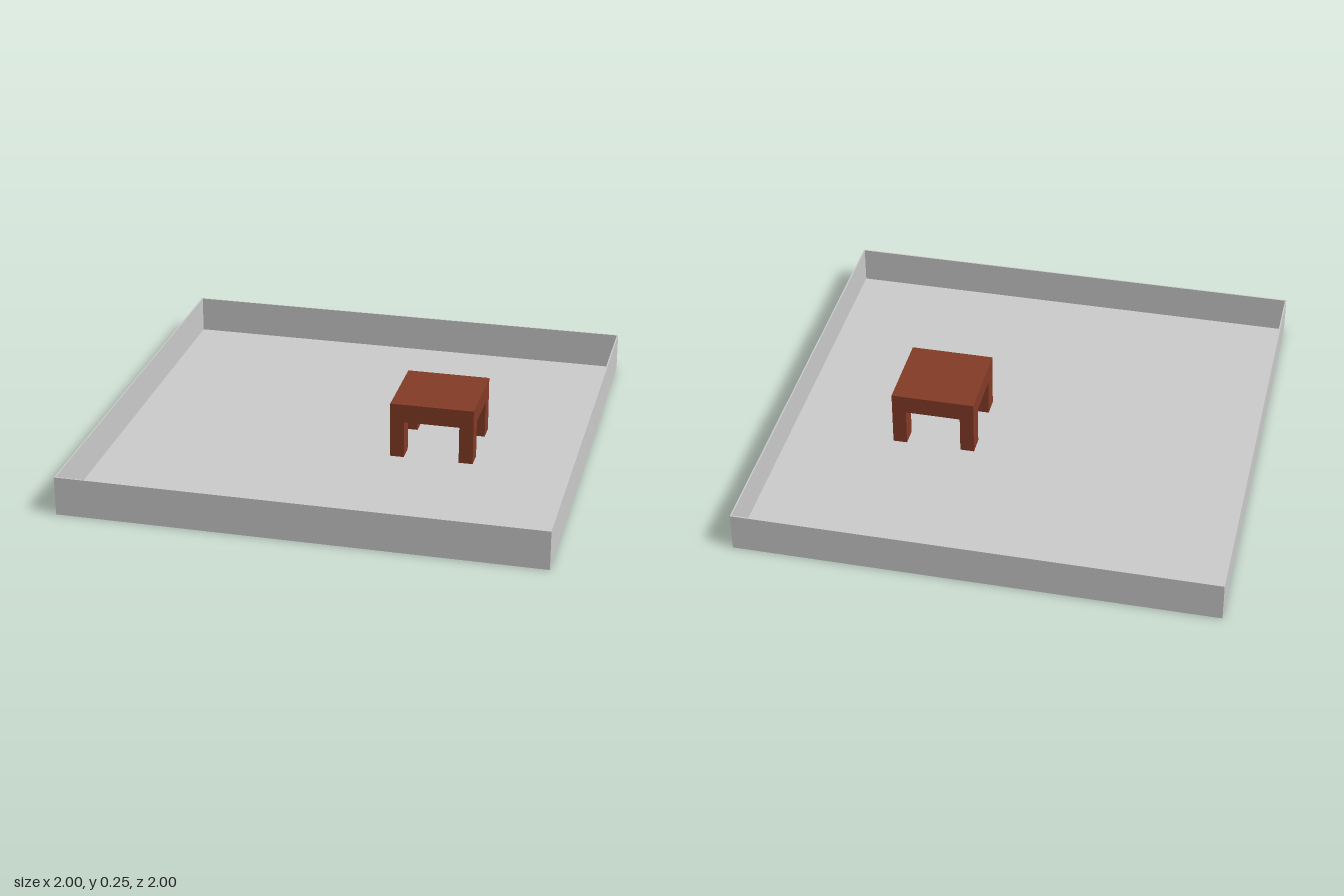
import * as THREE from 'three';

const grey = new THREE.MeshStandardMaterial({ color: 0xcccccc });
const brown = new THREE.MeshStandardMaterial({ color: 0x843b26 });

// Box given by its size and the centre of its underside
function box(name, material, [w, h, d], [x, y, z]) {
  const mesh = new THREE.Mesh(new THREE.BoxGeometry(w, h, d), material);
  mesh.name = name;
  mesh.position.set(x, y + h / 2, z);
  return mesh;
}

// Shallow square room: thin floor and four thin walls
function createRoom() {
  const room = new THREE.Group();
  room.name = 'room';
  const t = 0.006, height = 0.165;
  room.add(box('floor', grey, [2, t, 2], [0, 0, 0]));
  for (const s of [-1, 1]) {
    const offset = s * (1 - t / 2);
    room.add(box(s > 0 ? 'frontWall' : 'backWall', grey, [2, height - t, t], [0, t, offset]));
    room.add(box(s > 0 ? 'leftWall' : 'rightWall', grey, [t, height - t, 2 - 2 * t], [offset, t, 0]));
  }
  return room;
}

// Table with a thick top and a leg flush with each corner
function createTable() {
  const table = new THREE.Group();
  table.name = 'table';
  const w = 0.356, d = 0.36, legW = 0.06, legD = 0.08, legH = 0.162, topH = 0.08;
  table.add(box('tableTop', brown, [w, topH, d], [0, legH, 0]));
  for (const sx of [-1, 1]) {
    for (const sz of [-1, 1]) {
      const name = (sz > 0 ? 'front' : 'back') + (sx > 0 ? 'Left' : 'Right') + 'Leg';
      table.add(box(name, brown, [legW, legH, legD], [sx * (w - legW) / 2, 0, sz * (d - legD) / 2]));
    }
  }
  table.position.set(0.365, 0.006, -0.01);
  return table;
}

export function createModel() {
  const model = new THREE.Group();
  model.name = 'roomWithTable';
  model.add(createRoom(), createTable());
  return model;
}
